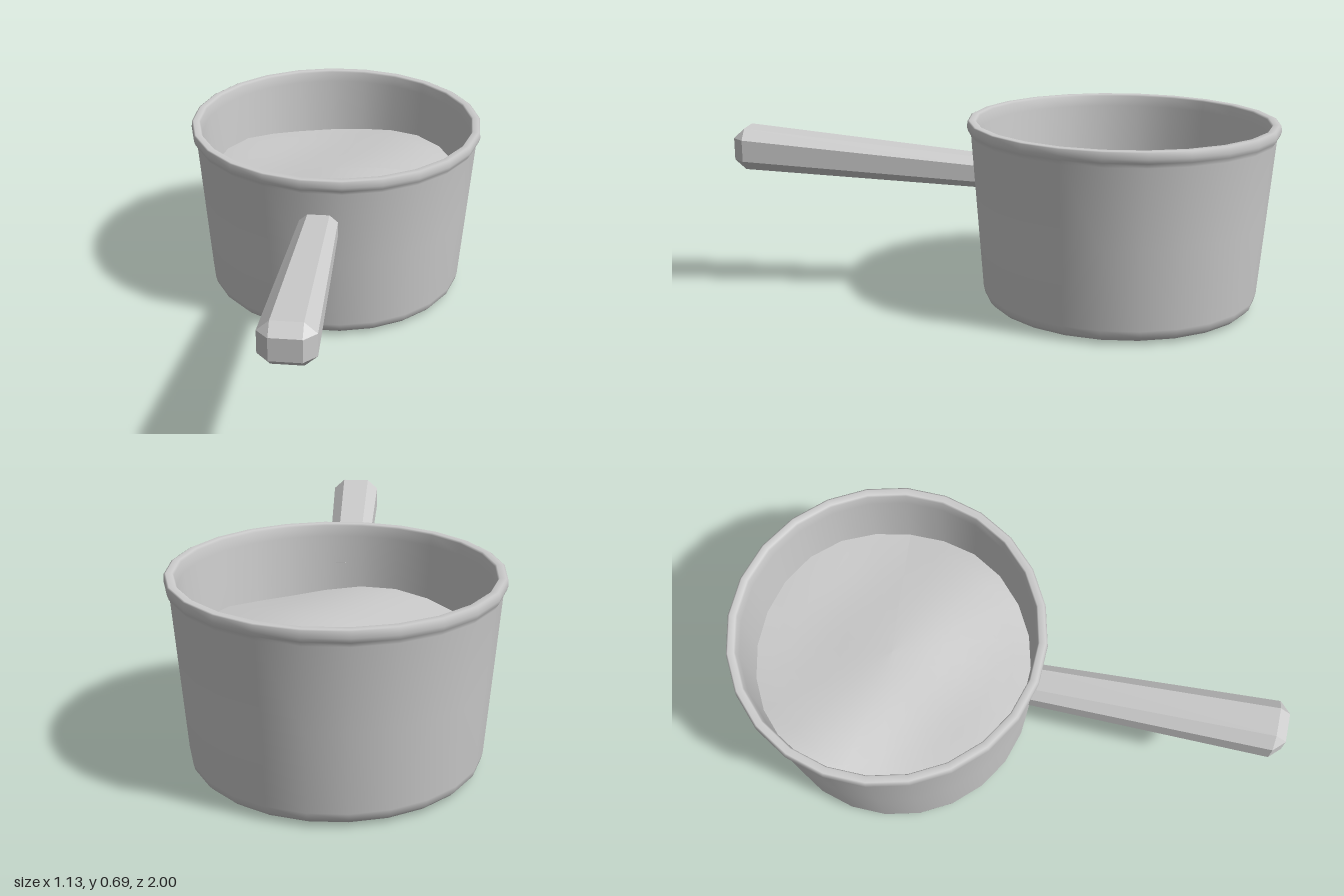
import * as THREE from 'three';

const CENTER_Z = -0.44;
const SIDES = 24;

// octagon loop, counter-clockwise seen from +z; fw, fh are the flat half lengths
function octagon({ z, y, w, h, fw, fh }) {
  return [[w, -fh], [w, fh], [fw, h], [-fw, h], [-w, fh], [-w, -fh], [-fw, -h], [fw, -h]]
    .map(([px, py]) => new THREE.Vector3(px - 0.012, y + py, z));
}

function loftGeometry(rings) {
  const pos = [];
  const tri = (...pts) => pts.forEach((p) => pos.push(p.x, p.y, p.z));
  for (let i = 0; i < rings.length - 1; i++) {
    const a = rings[i], b = rings[i + 1];
    for (let j = 0; j < 8; j++) {
      const k = (j + 1) % 8;
      tri(a[j], a[k], b[k]);
      tri(a[j], b[k], b[j]);
    }
  }
  const first = rings[0], last = rings[rings.length - 1];
  for (let j = 1; j < 7; j++) {
    tri(last[0], last[j], last[j + 1]);
    tri(first[0], first[j + 1], first[j]);
  }
  const geo = new THREE.BufferGeometry();
  geo.setAttribute('position', new THREE.Float32BufferAttribute(pos, 3));
  geo.computeVertexNormals();
  return geo;
}

export function createModel() {
  const group = new THREE.Group();
  const add = (name, geo, options = {}) => {
    const mesh = new THREE.Mesh(geo, new THREE.MeshStandardMaterial({ color: 0xcccccc, ...options }));
    mesh.name = name;
    group.add(mesh);
    return mesh;
  };

  // pot wall: outside upward, over the rolled rim, then down the inside
  const profile = [
    [0, 0], [0.3, 0.003], [0.465, 0.006], [0.488, 0.012], [0.503, 0.028], [0.509, 0.052],
    [0.531, 0.34], [0.553, 0.628], [0.563, 0.645], [0.568, 0.66], [0.566, 0.682],
    [0.56, 0.685], [0.538, 0.685], [0.533, 0.678], [0.527, 0.64],
    [0.505, 0.34], [0.485, 0.06], [0.46, 0.035], [0, 0.03],
  ].map(([r, y]) => new THREE.Vector2(r, y));
  const pot = add('pot', new THREE.LatheGeometry(profile, SIDES, Math.PI / SIDES));
  pot.position.z = CENTER_Z;

  // gently uneven contents filling the pot
  const fill = new THREE.RingGeometry(0.001, 0.517, SIDES, 8, Math.PI / SIDES);
  fill.rotateX(-Math.PI / 2);
  const p = fill.attributes.position;
  for (let i = 0; i < p.count; i++) {
    const x = p.getX(i), z = p.getZ(i);
    const r = Math.hypot(x, z) / 0.517;
    const wave = 0.012 * Math.sin(7 * x + 4 * z + 0.6) + 0.01 * Math.cos(9 * z - 5 * x);
    p.setY(i, 0.455 + wave - 0.02 * r ** 4);
  }
  fill.computeVertexNormals();
  const contents = add('contents', fill, { side: THREE.DoubleSide });
  contents.position.z = CENTER_Z;

  // faceted handle, widening and rising toward its chamfered end
  add('handle', loftGeometry([
    octagon({ z: 0.075, y: 0.481, w: 0.07, h: 0.057, fw: 0.04, fh: 0.03 }),
    octagon({ z: 0.96, y: 0.557, w: 0.093, h: 0.077, fw: 0.052, fh: 0.04 }),
    octagon({ z: 1.0, y: 0.557, w: 0.053, h: 0.041, fw: 0.052, fh: 0.04 }),
  ]), { flatShading: true });

  return group;
}
